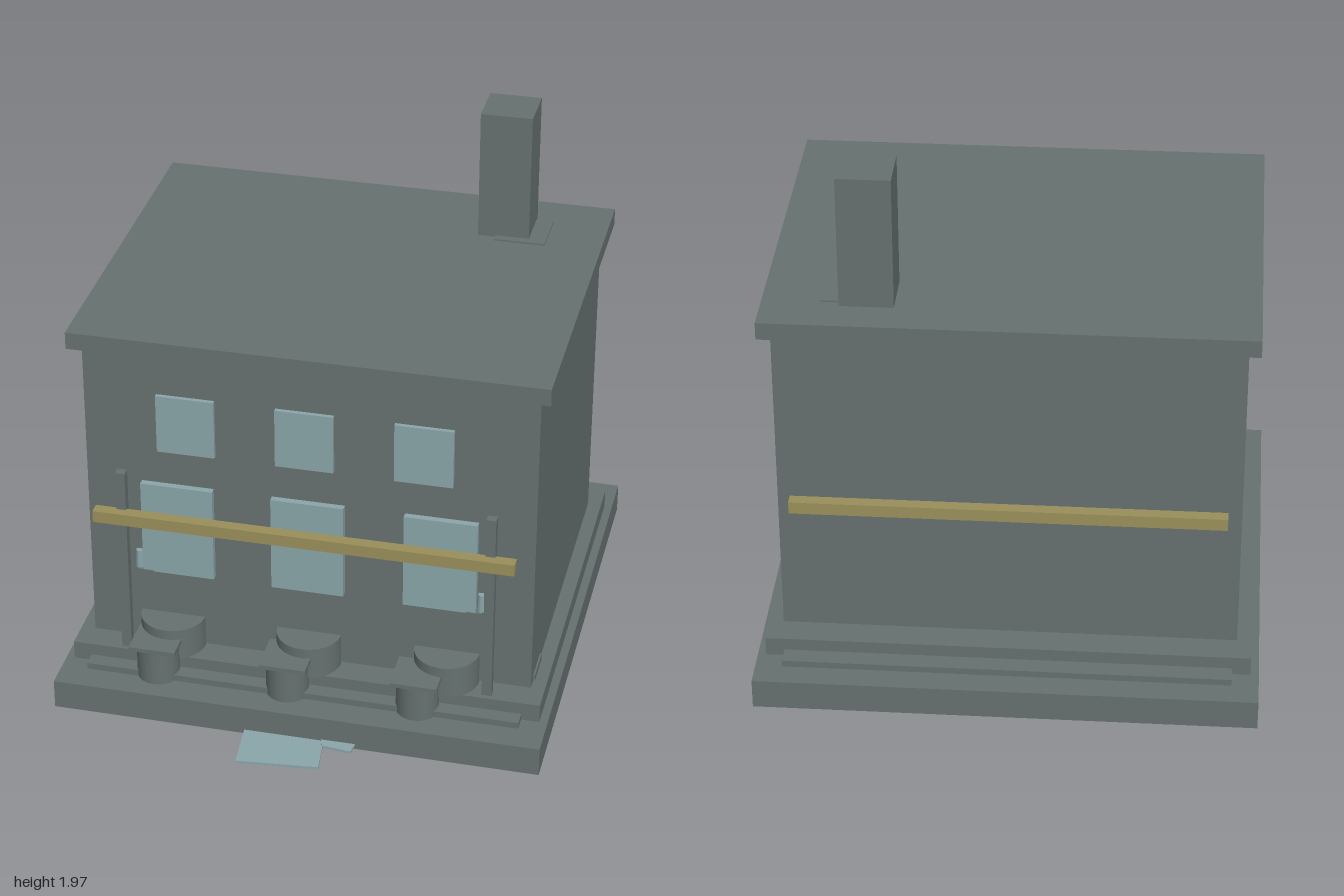
import * as THREE from 'three';

const stone = new THREE.MeshStandardMaterial({ name: 'grey stone', color: 0x66716f });
const glass = new THREE.MeshStandardMaterial({ name: 'pale blue glass', color: 0x8aa5a9 });
const brass = new THREE.MeshStandardMaterial({ name: 'dull brass', color: 0x9a8f5a });

export function createModel() {
  const model = new THREE.Group();
  model.name = 'townhouse';

  const add = (name, geometry, material, x, y, z) => {
    const mesh = new THREE.Mesh(geometry, material);
    mesh.name = name;
    mesh.position.set(x, y, z);
    model.add(mesh);
    return mesh;
  };
  // Box given by its extents on each axis
  const box = (name, material, [x0, x1], [y0, y1], [z0, z1]) =>
    add(name, new THREE.BoxGeometry(x1 - x0, y1 - y0, z1 - z0), material,
      (x0 + x1) / 2, (y0 + y1) / 2, (z0 + z1) / 2);

  // Stepped plinth, walls and roof
  box('base', stone, [-0.907, 0.907], [0, 0.113], [-1, 0.81]);
  box('lowStep', stone, [-0.81, 0.81], [0.113, 0.138], [-0.905, 0.705]);
  box('plinth', stone, [-0.877, 0.877], [0.113, 0.185], [-0.836, 0.648]);
  box('walls', stone, [-0.825, 0.825], [0.185, 1.41], [-0.728, 0.545]);
  box('roof', stone, [-0.867, 0.867], [1.41, 1.475], [-0.782, 0.598]);

  // Chimney and its flashing
  box('chimney', stone, [0.403, 0.595], [1.475, 1.97], [-0.645, -0.46]);
  box('chimneyFlashing', stone, [0.47, 0.66], [1.475, 1.481], [-0.62, -0.43]);

  // Two rows of three windows
  for (const x of [-0.433, 0, 0.43])
    box('upperWindow', glass, [x - 0.106, x + 0.106], [1.042, 1.27], [0.6, 0.616]);
  for (const x of [-0.487, -0.003, 0.485])
    box('lowerWindow', glass, [x - 0.134, x + 0.134], [0.492, 0.867], [0.545, 0.57]);

  // Long rails, front and back
  for (const z of [0.642, -0.823])
    box('rail', brass, [-0.775, 0.77], [0.739, 0.785], [z - 0.022, z + 0.022]);

  // Posts, wall lamps and side vents, mirrored
  for (const s of [-1, 1]) {
    const px = s * 0.677;
    box('post', stone, [px - 0.018, px + 0.018], [0.185, 0.937], [0.598, 0.63]);
    add('lamp', new THREE.CylinderGeometry(0.014, 0.017, 0.07, 8), glass, s * 0.637, 0.535, 0.553);
    box('lampShelf', stone, [s * 0.612 - 0.03, s * 0.612 + 0.03], [0.49, 0.497], [0.545, 0.572]);
    box('sideVent', stone, [s * 0.828 - 0.004, s * 0.828 + 0.004], [0.185, 0.21], [0.36, 0.5]);
  }

  // Half-round planters against the wall
  for (const x of [-0.515, 0, 0.515])
    add('planter', new THREE.CylinderGeometry(0.12, 0.12, 0.125, 20, 1, false, -Math.PI / 2, Math.PI),
      stone, x, 0.2475, 0.555);

  // Round pedestals with square tops
  for (const x of [-0.545, -0.055, 0.43]) {
    add('pedestal', new THREE.CylinderGeometry(0.079, 0.079, 0.142, 20), stone, x, 0.184, 0.665);
    box('pedestalTop', stone, [x - 0.087, x + 0.087], [0.255, 0.271], [0.58, 0.753]);
  }

  // Skewed slabs lying in front of the base
  const slab = (name, y, points) => {
    const shape = new THREE.Shape(points.map(([x, z]) => new THREE.Vector2(x, -z)));
    const geometry = new THREE.ExtrudeGeometry(shape, { depth: 0.01, bevelEnabled: false });
    geometry.rotateX(-Math.PI / 2);
    add(name, geometry, glass, 0, y, 0);
  };
  slab('largeSlab', 0.006, [[-0.185, 0.8], [-0.167, 0.997], [0.132, 0.967], [0.113, 0.8]]);
  slab('smallSlab', 0.011, [[0.1, 0.8], [0.115, 0.845], [0.225, 0.857], [0.232, 0.8]]);

  return model;
}
